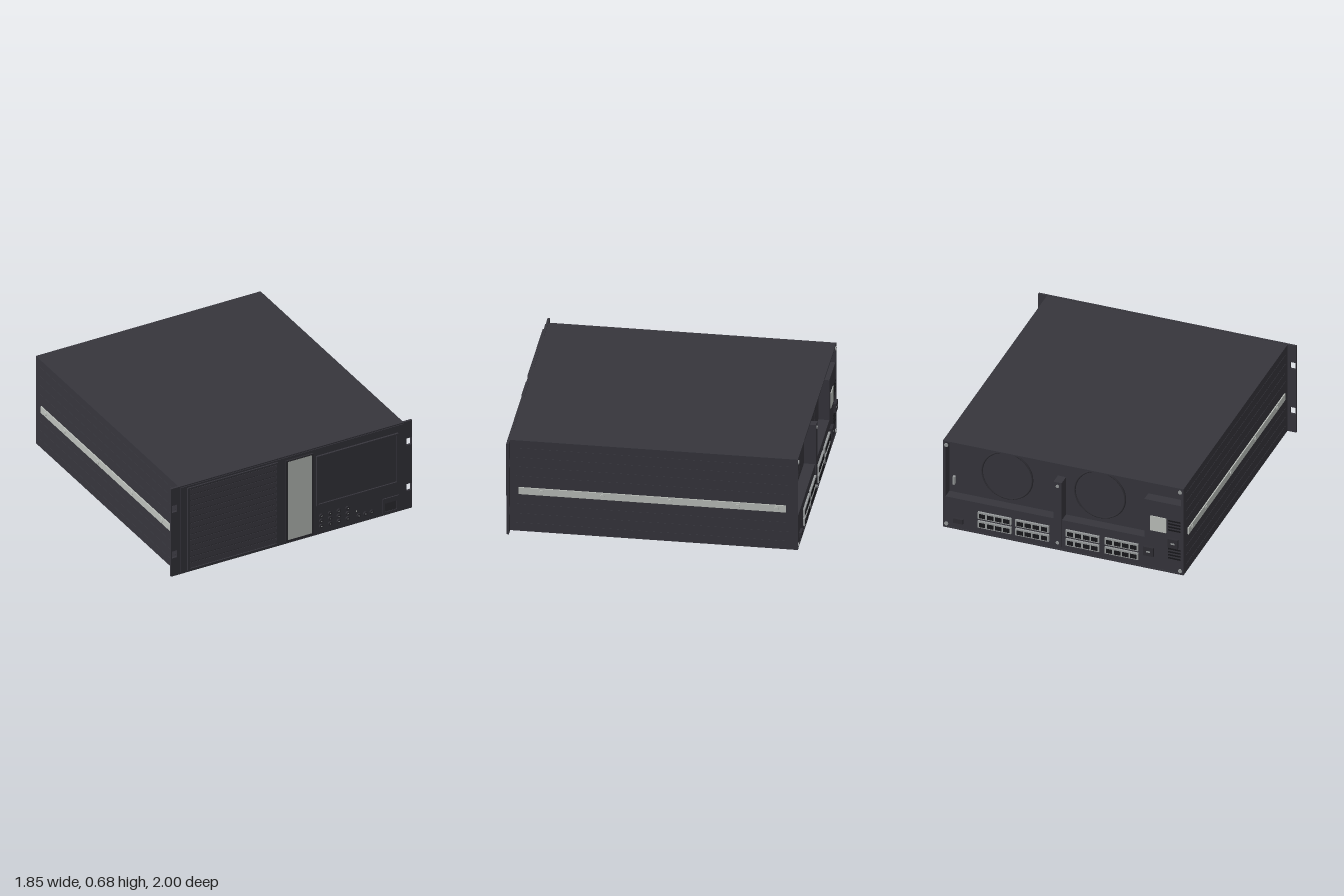
import * as THREE from 'three';

const mat = (name, color) => Object.assign(new THREE.MeshStandardMaterial({ color }), { name });

export function createModel() {
  const model = new THREE.Group();
  model.name = 'rackChassis';
  const shell = mat('charcoal metal', 0x36353c);
  const dark = mat('dark plastic', 0x2e2d33);
  const black = mat('black', 0x17171a);
  const light = mat('pale grey', 0xbcc0bb);
  const silver = mat('silver', 0x96999a);

  const add = (name, geo, m, x = 0, y = 0, z = 0, parent = model) => {
    const mesh = new THREE.Mesh(geo, m);
    mesh.name = name;
    mesh.position.set(x, y, z);
    parent.add(mesh);
    return mesh;
  };
  // Box given by its limits on each axis
  const box = (name, m, x0, x1, y0, y1, z0, z1) =>
    add(name, new THREE.BoxGeometry(x1 - x0, y1 - y0, z1 - z0), m, (x0 + x1) / 2, (y0 + y1) / 2, (z0 + z1) / 2);
  const rect = (P, x0, x1, y0, y1) => {
    const p = new P();
    p.moveTo(x0, y0); p.lineTo(x1, y0); p.lineTo(x1, y1); p.lineTo(x0, y1); p.closePath();
    return p;
  };
  // Plate facing z with rectangular holes
  const plate = (name, m, outer, holes, z0, z1) => {
    const s = rect(THREE.Shape, ...outer);
    holes.forEach(h => s.holes.push(rect(THREE.Path, ...h)));
    return add(name, new THREE.ExtrudeGeometry(s, { depth: z1 - z0, bevelEnabled: false }), m, 0, 0, z0);
  };
  // Short cylinder facing z
  const disc = (name, m, r, depth, x, y, z, seg = 16) =>
    add(name, new THREE.CylinderGeometry(r, r, depth, seg).rotateX(Math.PI / 2), m, x, y, z);

  // Main case with an open rear bay
  box('caseBody', shell, -0.862, 0.862, 0, 0.68, -0.905, 0.966);
  plate('rearShell', shell, [-0.862, 0.862, 0, 0.68], [[-0.845, 0.845, 0.01, 0.67]], -0.984, -0.905);
  box('rearPortPanel', shell, -0.845, 0.845, 0.01, 0.24, -0.98, -0.905);
  box('powerSupply', shell, -0.845, -0.58, 0.24, 0.54, -0.98, -0.905);

  // Front plate with slotted mounting ears
  const slots = [];
  for (const x of [-0.9, 0.9]) for (const y of [0.167, 0.522]) slots.push([x - 0.019, x + 0.019, y - 0.027, y + 0.027]);
  plate('frontPlateWithEars', shell, [-0.925, 0.925, 0, 0.682], slots, 0.963, 0.979);
  box('frontFascia', shell, -0.857, 0.857, 0.012, 0.673, 0.979, 0.984);

  // Louvred air intake
  plate('grilleFrame', shell, [-0.805, -0.11, 0.018, 0.66], [[-0.79, -0.125, 0.03, 0.648]], 0.984, 0.994);
  box('grilleBack', dark, -0.79, -0.125, 0.03, 0.648, 0.984, 0.985);
  for (let i = 0; i < 14; i++) {
    const slat = add('grilleSlat', new THREE.BoxGeometry(0.665, 0.034, 0.006), shell, -0.4575, 0.054 + i * 0.0438, 0.989);
    slat.rotation.x = -0.15;
  }

  // Pale centre panel
  plate('centrePanelFrame', dark, [-0.05, 0.16, 0.02, 0.652], [[-0.038, 0.148, 0.032, 0.642]], 0.984, 0.994);
  box('centrePanel', light, -0.038, 0.148, 0.032, 0.642, 0.984, 0.992);

  // Display
  plate('screenBezel', shell, [0.183, 0.81, 0.232, 0.62], [[0.195, 0.798, 0.244, 0.608]], 0.984, 0.998);
  box('screen', shell, 0.195, 0.798, 0.244, 0.608, 0.984, 0.988);

  // Keypad and control buttons
  const button = (x, y) => {
    disc('button', dark, 0.015, 0.012, x, y, 0.989);
    box('buttonMark', silver, x - 0.005, x + 0.005, y - 0.003, y + 0.003, 0.994, 0.996);
  };
  for (let c = 0; c < 4; c++) for (let r = 0; r < 3; r++) button(0.222 + c * 0.0675, 0.065 + r * 0.04);
  for (let c = 0; c < 3; c++) button(0.51 + c * 0.05, 0.063);
  box('statusLight', light, 0.49, 0.496, 0.094, 0.104, 0.984, 0.987);
  plate('socketFrame', shell, [0.695, 0.817, 0.02, 0.135], [[0.71, 0.802, 0.032, 0.098]], 0.984, 0.992);
  box('socketDoor', dark, 0.71, 0.802, 0.032, 0.098, 0.984, 0.987);

  // Side rails, bolts and shallow ribs, mirrored
  for (const s of [-1, 1]) {
    add('sideRail', new THREE.BoxGeometry(0.008, 0.05, 1.81), light, s * 0.866, 0.305, 0);
    for (const z of [-0.84, -0.58, -0.12, 0.34, 0.75])
      add('railBolt', new THREE.CylinderGeometry(0.014, 0.016, 0.006, 12).rotateZ(-s * Math.PI / 2), light, s * 0.872, 0.305, z);
    for (const y of [0.06, 0.13, 0.2, 0.41, 0.48, 0.55, 0.62])
      add('sideRib', new THREE.BoxGeometry(0.003, 0.006, 1.85), shell, s * 0.8625, y, 0);
    for (const y of [0.03, 0.65]) disc('cornerScrew', silver, 0.014, 0.008, s * 0.838, y, -0.985, 12);
  }

  // Rear fans
  for (const x of [0.43, -0.235]) {
    add('fanRing', new THREE.TorusGeometry(0.18, 0.007, 8, 48), dark, x, 0.455, -0.907);
    disc('fanCover', shell, 0.174, 0.006, x, 0.455, -0.906, 40);
  }
  box('rearDivider', shell, 0.01, 0.068, 0.03, 0.535, -0.988, -0.905);
  for (const y of [0.06, 0.505]) disc('dividerScrew', silver, 0.012, 0.006, 0.039, y, -0.99, 12);

  // Rear connector blocks
  for (const x of [-0.42, -0.14, 0.22, 0.49])
    for (const y of [0.08, 0.15]) {
      box('connectorBlock', silver, x - 0.12, x + 0.12, y - 0.026, y + 0.026, -0.994, -0.98);
      for (let i = 0; i < 4; i++) {
        const px = x - 0.087 + i * 0.058;
        box('port', black, px - 0.022, px + 0.022, y - 0.017, y + 0.014, -0.998, -0.99);
      }
    }

  // Rear power, label and vents
  box('ratingPlate', light, -0.738, -0.623, 0.305, 0.42, -0.985, -0.98);
  for (const [x, y] of [[-0.79, 0.24], [-0.615, 0.14]]) {
    box('powerInlet', dark, x - 0.036, x + 0.036, y - 0.034, y + 0.034, -1, -0.98);
    box('inletPins', silver, x - 0.015, x + 0.015, y - 0.006, y + 0.006, -1.0, -0.999 + 0.01).position.z -= 0.001;
  }
  for (const y0 of [0.11, 0.33])
    for (let i = 0; i < 4; i++) box('ventSlot', black, -0.84, -0.75, y0 + i * 0.024, y0 + i * 0.024 + 0.01, -0.984, -0.98);
  box('rearSocket', dark, 0.715, 0.785, 0.055, 0.09, -0.998, -0.98);
  box('rearLatch', silver, 0.8, 0.815, 0.31, 0.37, -0.93, -0.905);

  return model;
}
